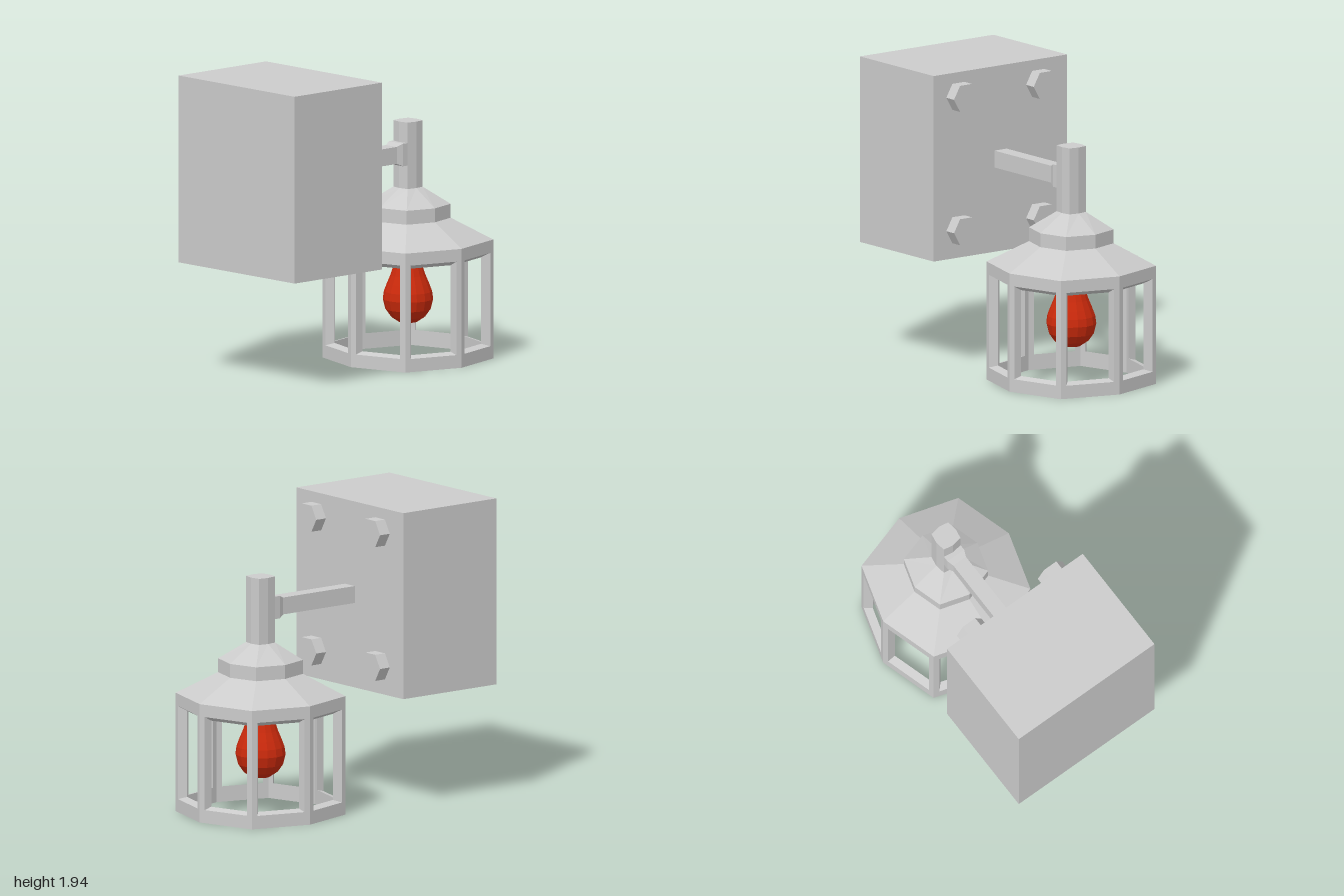
import * as THREE from 'three';

const SIDES = 8;
const LAMP_X = 0.5;

function material(color = 0xcccccc) {
  return new THREE.MeshStandardMaterial({ color, flatShading: true });
}

function mesh(name, geometry, color) {
  const m = new THREE.Mesh(geometry, material(color));
  m.name = name;
  return m;
}

// Joins successive closed rings of points with quads
function loft(rings) {
  const pos = [];
  for (let r = 0; r < rings.length - 1; r++) {
    const a = rings[r], b = rings[r + 1], n = a.length;
    for (let i = 0; i < n; i++) {
      const j = (i + 1) % n;
      for (const p of [a[i], a[j], b[j], a[i], b[j], b[i]]) pos.push(...p);
    }
  }
  const g = new THREE.BufferGeometry();
  g.setAttribute('position', new THREE.Float32BufferAttribute(pos, 3));
  g.computeVertexNormals();
  return g;
}

// Octagon corner; diagonal corners sit at k * r on both axes
function corner(i, r, k = 0.77) {
  const a = (i * Math.PI * 2) / SIDES;
  const s = i % 2 ? r * k * Math.SQRT2 : r;
  return [s * Math.cos(a), s * Math.sin(a)];
}

function octagon(r, y, k) {
  return Array.from({ length: SIDES }, (_, i) => {
    const [x, z] = corner(i, r, k);
    return [x, y, z];
  });
}

// One window frame between two neighbouring cage corners
function framePanel(i) {
  const p = corner(i, 0.5), q = corner(i + 1, 0.5);
  const loop = (t, y0, y1, s) =>
    [[t, y0], [t, y1], [1 - t, y1], [1 - t, y0]].map(([u, y]) => [
      s * (p[0] + (q[0] - p[0]) * u), y, s * (p[1] + (q[1] - p[1]) * u),
    ]);
  const outer = loop(0, 0, 0.77, 1);
  return loft([
    outer,
    loop(0.095, 0.085, 0.69, 1),
    loop(0.105, 0.1, 0.66, 0.89),
    loop(0, 0, 0.77, 0.89),
    outer,
  ]);
}

export function createModel() {
  const model = new THREE.Group();
  model.name = 'wallLantern';

  // Wall block
  const block = mesh('wallBlock', new THREE.BoxGeometry(0.765, 1.21, 1.08));
  block.position.set(-0.6175, 1.335, 0);
  model.add(block);

  // Hexagonal bolts
  for (const y of [0.915, 1.785]) {
    for (const z of [-0.305, 0.34]) {
      const bolt = mesh('bolt', new THREE.CylinderGeometry(0.098, 0.098, 0.09, 6).rotateZ(Math.PI / 2));
      bolt.position.set(-0.2, y, z);
      model.add(bolt);
    }
  }

  // Arm with a flared collar at the stem
  const section = (x, h, w) =>
    [[-1, -1], [1, -1], [1, 1], [-1, 1]].map(([y, z]) => [x, 1.335 + y * h, z * w]);
  model.add(mesh('arm', loft([
    section(-0.24, 0.055, 0.05),
    section(0.355, 0.055, 0.05),
    section(0.395, 0.073, 0.066),
    section(0.46, 0.073, 0.066),
  ])));

  const lamp = new THREE.Group();
  lamp.name = 'lamp';
  lamp.position.x = LAMP_X;
  model.add(lamp);

  // Vertical stem
  lamp.add(mesh('stem', loft([
    octagon(0, 1.54), octagon(0.077, 1.54, 0.86), octagon(0.077, 1.09, 0.86),
  ])));

  // Stepped hood with a hollow underside
  lamp.add(mesh('hood', loft([
    octagon(0, 1.11), octagon(0.077, 1.11, 0.86),
    octagon(0.25, 1), octagon(0.25, 0.91),
    octagon(0.5, 0.77), octagon(0.445, 0.765),
    octagon(0.25, 0.89), octagon(0, 0.89),
  ])));

  // Cage of eight open frames
  const cage = new THREE.Group();
  cage.name = 'cage';
  for (let i = 0; i < SIDES; i++) cage.add(mesh('framePanel', framePanel(i)));
  lamp.add(cage);

  // Bulb and its socket
  const profile = [
    [0, 0.225], [0.06, 0.237], [0.11, 0.27], [0.145, 0.32], [0.161, 0.385],
    [0.154, 0.435], [0.135, 0.485], [0.112, 0.54], [0.092, 0.6],
    [0.076, 0.66], [0.066, 0.7], [0, 0.71],
  ].map(([r, y]) => new THREE.Vector2(r, y));
  lamp.add(mesh('bulb', new THREE.LatheGeometry(profile, 16), 0xcc2a0c));
  const socket = mesh('socket', new THREE.CylinderGeometry(0.05, 0.05, 0.2, 8));
  socket.position.y = 0.8;
  lamp.add(socket);

  return model;
}
